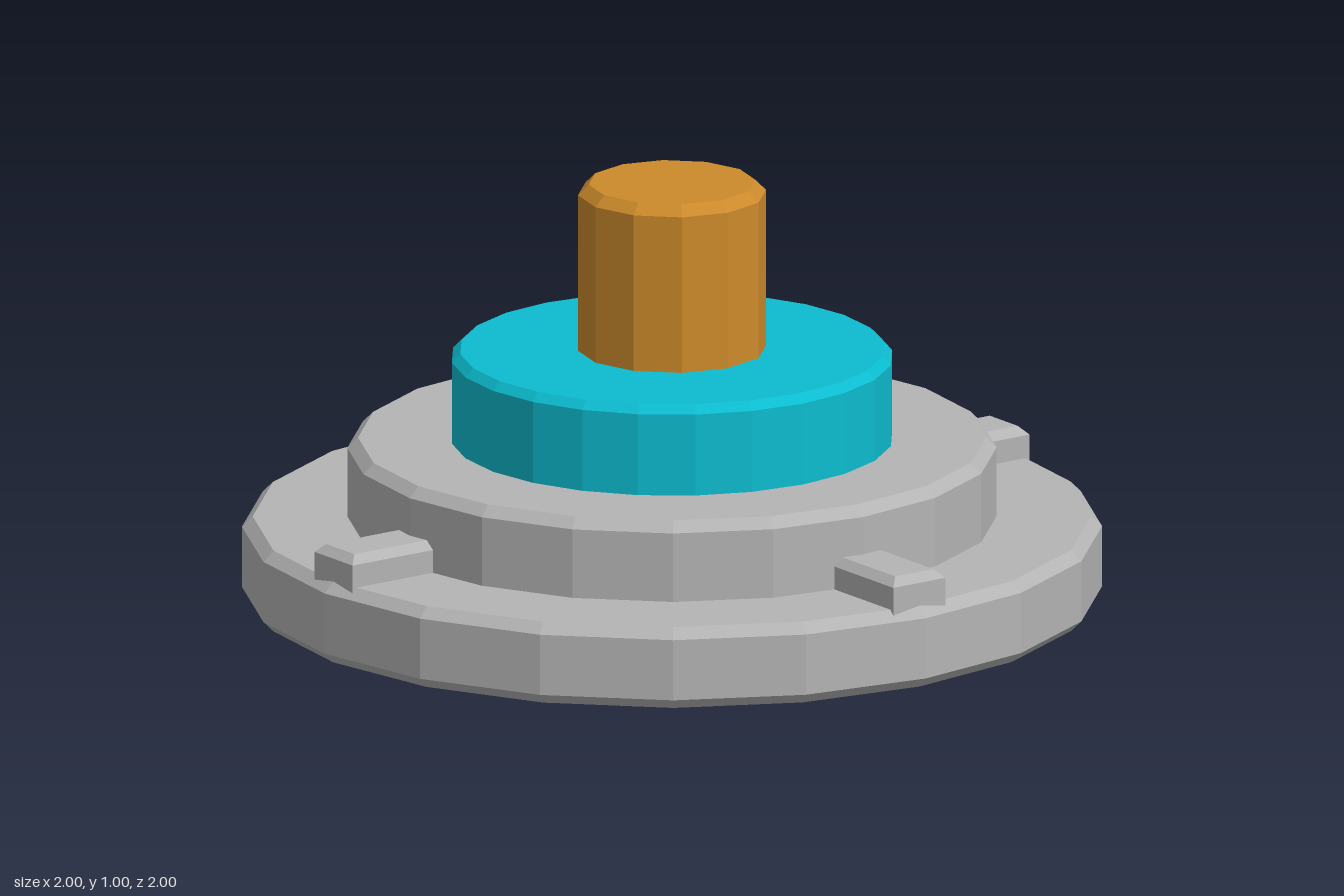
import * as THREE from 'three';

export function createModel() {
  const group = new THREE.Group();
  const flat = (name, color) => {
    const m = new THREE.MeshStandardMaterial({ color, flatShading: true });
    m.name = name;
    return m;
  };
  const grey = flat('grey', 0xb4b4b4);
  const cyan = flat('cyan', 0x0cbccf);
  const gold = flat('gold', 0xcc8a2b);

  // Faceted disc with chamfered rims
  function disc(name, radius, y0, y1, sides, bevel, material) {
    const r = radius - bevel;
    const profile = [[0, y0], [r, y0], [radius, y0 + bevel], [radius, y1 - bevel], [r, y1], [0, y1]]
      .map(([x, y]) => new THREE.Vector2(x, y));
    const mesh = new THREE.Mesh(new THREE.LatheGeometry(profile, sides), material);
    mesh.name = name;
    group.add(mesh);
  }
  disc('base', 1, 0, 0.195, 20, 0.025, grey);
  disc('middleTier', 0.755, 0.17, 0.385, 20, 0.025, grey);
  disc('upperTier', 0.515, 0.36, 0.6, 24, 0.02, cyan);
  disc('centralPost', 0.22, 0.57, 1, 12, 0.025, gold);

  // Four chamfered lugs around the rim, rooted in the middle tier
  const b = 0.02, w = 0.075 - b, l = 0.3 - 2 * b;
  const outline = new THREE.Shape([[-w, 0], [w, 0], [w, l], [-w, l]].map(([x, y]) => new THREE.Vector2(x, y)));
  const lugGeometry = new THREE.ExtrudeGeometry(outline, {
    depth: 0.12 - 2 * b, bevelEnabled: true, bevelThickness: b, bevelSize: b, bevelSegments: 1,
  });
  lugGeometry.rotateX(-Math.PI / 2);
  lugGeometry.translate(0, 0.15 + b, 0.975 - b);
  for (let i = 0; i < 4; i++) {
    const lug = new THREE.Mesh(lugGeometry, grey);
    lug.name = 'lug' + (i + 1);
    lug.rotation.y = i * Math.PI / 2;
    group.add(lug);
  }
  return group;
}
